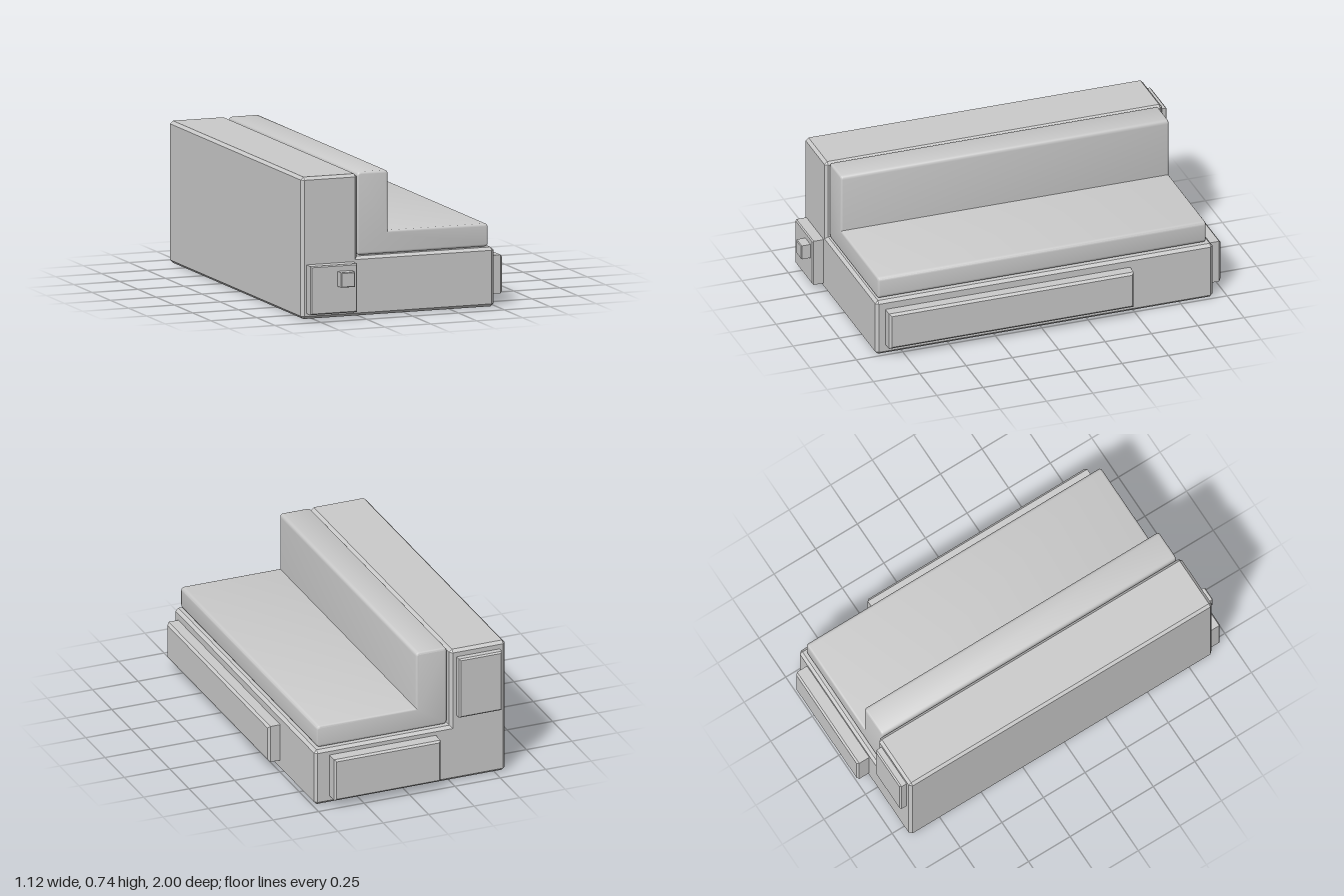
import * as THREE from 'three';
import { mergeGeometries, toCreasedNormals } from 'three/addons/utils/BufferGeometryUtils.js';

const material = new THREE.MeshStandardMaterial({ color: 0xcccccc, side: THREE.DoubleSide });

// Joins successive loops of [x, y, z] points with flat quads, leaving out skipped segments
function skin(loops, skip = () => false) {
  const pos = [];
  for (let r = 0; r < loops.length - 1; r++) {
    const a = loops[r], b = loops[r + 1], n = a.length;
    for (let i = 0; i < n; i++) {
      if (skip(r, i)) continue;
      const j = (i + 1) % n;
      pos.push(...a[i], ...a[j], ...b[j], ...a[i], ...b[j], ...b[i]);
    }
  }
  const g = new THREE.BufferGeometry();
  g.setAttribute('position', new THREE.Float32BufferAttribute(pos, 3));
  g.computeVertexNormals();
  return g;
}

const rect = (x0, x1, y0, y1) => [[x0, y0], [x1, y0], [x1, y1], [x0, y1]];
const atZ = (pts, z) => pts.map(([x, y]) => [x, y, z]);

// Flat plate with cut-outs, facing +z
function plate(pts, holes, z) {
  const path = (p) => p.map(([x, y]) => new THREE.Vector2(x, y));
  const shape = new THREE.Shape(path(pts));
  holes.forEach((h) => shape.holes.push(new THREE.Path(path(h))));
  const g = new THREE.ShapeGeometry(shape).toNonIndexed();
  g.deleteAttribute('uv');
  return g.translate(0, 0, z);
}

// Raised panel, open at the back, with a chamfered rim
function panel(name, [x0, x1, y0, y1], z0, z1, b, holes = []) {
  const outer = rect(x0, x1, y0, y1);
  const inner = rect(x0 + b, x1 - b, y0 + b, y1 - b);
  const geo = mergeGeometries([
    skin([atZ(outer, z0), atZ(outer, z1 - b), atZ(inner, z1)]),
    plate(inner, holes, z1),
  ]);
  const mesh = new THREE.Mesh(geo, material);
  mesh.name = name;
  return mesh;
}

export function createModel() {
  const model = new THREE.Group();
  model.name = 'bench';
  const zB = -0.93, zF = 0.89, b = 0.015;

  // Panel outlines, each in the frame of the wall it stands on
  const frontRect = [-0.535, -0.28, 0.03, 0.28];
  const knobRect = [-0.388, -0.312, 0.17, 0.247];
  const sideRect = [-0.84, 0.48, 0.055, 0.255];
  const backHighRect = [0.29, 0.525, 0.36, 0.69];
  const backLowRect = [-0.41, 0.175, 0.04, 0.27];

  // Hollow L-shaped body: chamfered walls, open underneath
  const outer = [[-0.545, 0], [0.475, 0], [0.49, b], [0.49, 0.29], [0.475, 0.305], [-0.255, 0.305],
    [-0.255, 0.715], [-0.27, 0.73], [-0.545, 0.73], [-0.56, 0.715], [-0.56, b]];
  const inner = [[-0.545, b], [0.475, b], [0.475, b], [0.475, 0.29], [0.475, 0.29], [-0.27, 0.29],
    [-0.27, 0.715], [-0.27, 0.715], [-0.545, 0.715], [-0.545, 0.715], [-0.545, b]];
  const face = [0, 1, 3, 5, 6, 8].map((i) => inner[i]);
  const mirrored = face.map(([x, y]) => [-x, y]).reverse();
  const shell = skin(
    [atZ(inner, zB), atZ(outer, zB + b), atZ(outer, zF - b), atZ(inner, zF)],
    (ring, seg) => ring === 1 && (seg === 0 || seg === 2),
  );
  const frontWall = plate(face, [rect(...frontRect)], zF);
  const backWall = plate(mirrored, [rect(...backHighRect), rect(...backLowRect)], -zB).rotateY(Math.PI);
  const sideWall = plate(rect(b - zF, -zB - b, b, 0.29), [rect(...sideRect)], 0.49).rotateY(Math.PI / 2);
  const body = new THREE.Mesh(mergeGeometries([shell, frontWall, backWall, sideWall]), material);
  body.name = 'body';
  model.add(body);

  // Raised panels and the small knob
  model.add(panel('frontPanel', frontRect, zF, 0.95, 0.006, [rect(...knobRect)]));
  model.add(panel('frontKnob', knobRect, 0.95, 1, 0.004));
  const side = panel('sidePanel', sideRect, 0.49, 0.555, 0.012);
  side.rotation.y = Math.PI / 2;
  const backHigh = panel('upperBackPanel', backHighRect, -zB, 0.967, 0.008);
  const backLow = panel('lowerBackPanel', backLowRect, -zB, 1, 0.01);
  backHigh.rotation.y = backLow.rotation.y = Math.PI;
  model.add(side, backHigh, backLow);

  // L-shaped cushion with softened outer corners
  const r = 0.02, bev = 0.012;
  const [xl, xm, xr, yb, ym, yt] = [-0.25, -0.08, 0.465, 0.307, 0.425, 0.735];
  const s = new THREE.Shape();
  s.moveTo(xl + r, yb);
  s.lineTo(xr - r, yb);
  s.quadraticCurveTo(xr, yb, xr, yb + r);
  s.lineTo(xr, ym - r);
  s.quadraticCurveTo(xr, ym, xr - r, ym);
  s.lineTo(xm, ym);
  s.lineTo(xm, yt - r);
  s.quadraticCurveTo(xm, yt, xm - r, yt);
  s.lineTo(xl + r, yt);
  s.quadraticCurveTo(xl, yt, xl, yt - r);
  s.lineTo(xl, yb + r);
  s.quadraticCurveTo(xl, yb, xl + r, yb);
  const depth = 1.77;
  const cushionGeo = new THREE.ExtrudeGeometry(s, {
    depth: depth - 2 * bev, curveSegments: 4, bevelSegments: 3,
    bevelThickness: bev, bevelSize: bev, bevelOffset: -bev,
  }).translate(0, 0, -0.9 + bev);
  const cushion = new THREE.Mesh(toCreasedNormals(cushionGeo, 0.6), material);
  cushion.name = 'cushion';
  model.add(cushion);

  return model;
}
